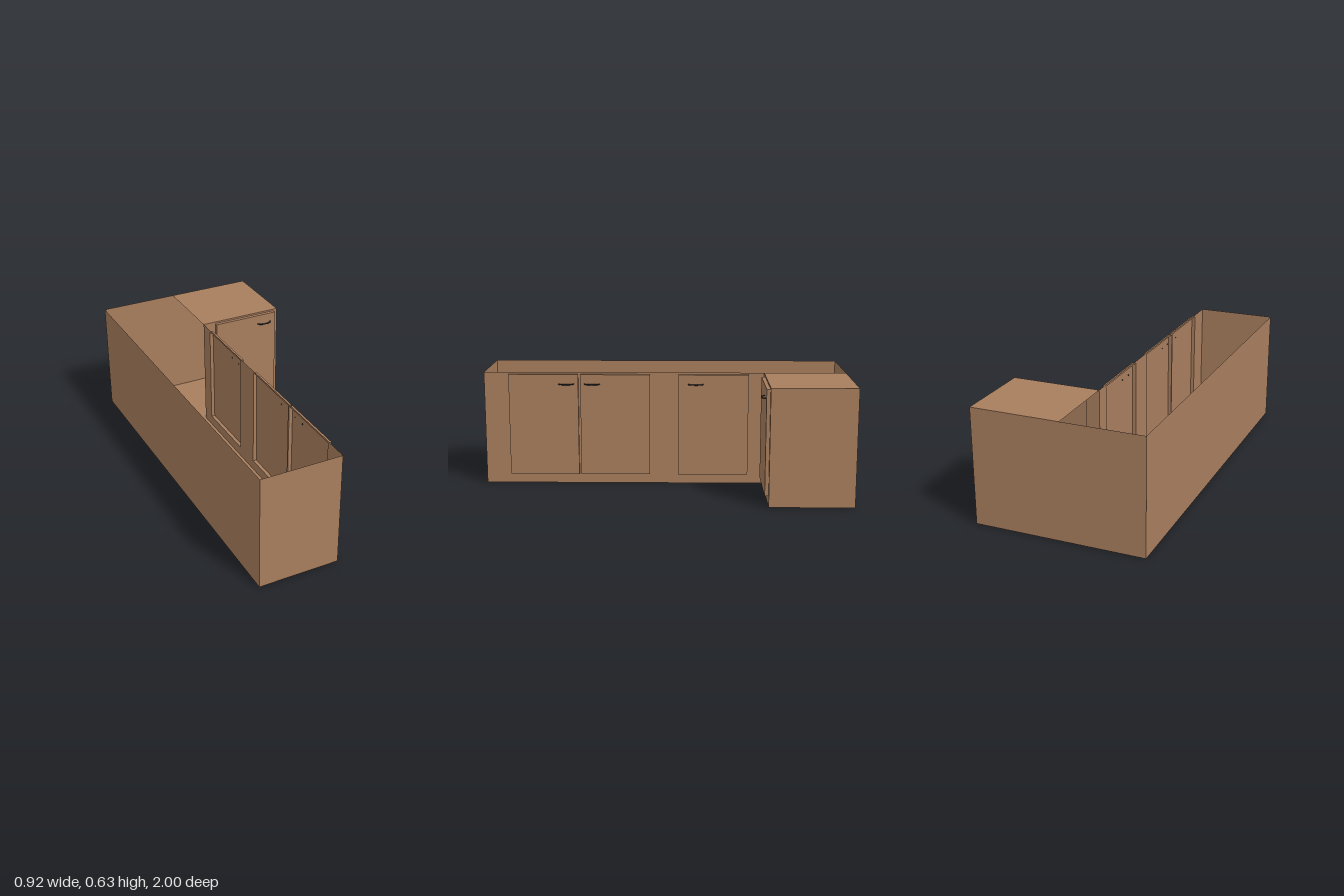
import * as THREE from 'three';

const H = 0.63, DOOR_LOW = 0.055, DOOR_HIGH = 0.62, DOOR_DEPTH = 0.02;
const BACK = -1, FRONT = 1, OUTER = -0.46, END = 0.46, INNER = -0.02, CORNER = -0.55;

export function createModel() {
  const wood = new THREE.MeshStandardMaterial({ color: 0xa87e5e, side: THREE.DoubleSide });
  wood.name = 'wood';
  const metal = new THREE.MeshStandardMaterial({ color: 0x30363b, side: THREE.DoubleSide });
  metal.name = 'dark metal';

  const model = new THREE.Group();
  model.name = 'cornerCabinet';

  const add = (parent, name, geometry, material) => {
    const mesh = new THREE.Mesh(geometry, material);
    mesh.name = name;
    parent.add(mesh);
    return mesh;
  };

  // Upright panel facing the given turn about y
  const wall = (name, width, x, z, turn) => {
    const mesh = add(model, name, new THREE.PlaneGeometry(width, H), wood);
    mesh.position.set(x, H / 2, z);
    mesh.rotation.y = turn;
  };
  wall('longBackWall', FRONT - BACK, OUTER, 0, -Math.PI / 2);
  wall('backWall', END - OUTER, 0, BACK, Math.PI);
  wall('frontEndWall', INNER - OUTER, (INNER + OUTER) / 2, FRONT, 0);
  wall('cornerEndWall', CORNER - BACK, END, (CORNER + BACK) / 2, Math.PI / 2);

  // L-shaped floor, drawn in x and z
  const plan = [[OUTER, BACK], [END, BACK], [END, CORNER], [INNER, CORNER], [INNER, FRONT], [OUTER, FRONT]];
  const floor = new THREE.ShapeGeometry(new THREE.Shape(plan.map(([x, z]) => new THREE.Vector2(x, z))));
  floor.rotateX(Math.PI / 2);
  add(model, 'floor', floor, wood);

  // Only the short wing has a top; the long run is open
  const top = new THREE.PlaneGeometry(END - INNER, CORNER - BACK);
  top.rotateX(-Math.PI / 2);
  top.translate((END + INNER) / 2, H, (CORNER + BACK) / 2);
  add(model, 'cornerTop', top, wood);

  // Door: a shallow box without its back face
  const doorGeometry = (u0, u1) => {
    const box = new THREE.BoxGeometry(u1 - u0, DOOR_HIGH - DOOR_LOW, DOOR_DEPTH);
    box.setIndex(Array.from(box.index.array).slice(0, 30));
    box.clearGroups();
    box.translate((u0 + u1) / 2, (DOOR_HIGH + DOOR_LOW) / 2, DOOR_DEPTH / 2);
    return box;
  };

  // Bowed pull handle
  const handleCurve = new THREE.CatmullRomCurve3(
    [[-0.04, -0.002], [-0.039, 0.006], [-0.025, 0.016], [0, 0.02], [0.025, 0.016], [0.039, 0.006], [0.04, -0.002]]
      .map(([u, d]) => new THREE.Vector3(u, 0, DOOR_DEPTH + d)));
  const handleGeometry = new THREE.TubeGeometry(handleCurve, 24, 0.0035, 8, false);

  // Cabinet front with an opening behind every door
  const cabinetFront = (name, u0, u1, doors) => {
    const group = new THREE.Group();
    group.name = name;
    const rectangle = (Type, a, b, low, high) => new Type([
      new THREE.Vector2(a, low), new THREE.Vector2(b, low),
      new THREE.Vector2(b, high), new THREE.Vector2(a, high)]);
    const face = rectangle(THREE.Shape, u0, u1, 0, H);
    for (const [a, b, handleAt] of doors) {
      face.holes.push(rectangle(THREE.Path, a, b, DOOR_LOW, DOOR_HIGH));
      add(group, 'door', doorGeometry(a, b), wood);
      add(group, 'handle', handleGeometry, metal).position.set(handleAt, 0.567, 0);
    }
    add(group, 'frontFrame', new THREE.ShapeGeometry(face), wood);
    model.add(group);
    return group;
  };

  const longFront = cabinetFront('longFront', -FRONT, -CORNER, [
    [-0.862, -0.477, -0.543], [-0.465, -0.08, -0.4], [0.077, 0.465, 0.174]]);
  longFront.position.x = INNER;
  longFront.rotation.y = Math.PI / 2;

  const cornerFront = cabinetFront('cornerFront', INNER, END, [[0.055, 0.438, 0.364]]);
  cornerFront.position.z = CORNER;

  return model;
}
